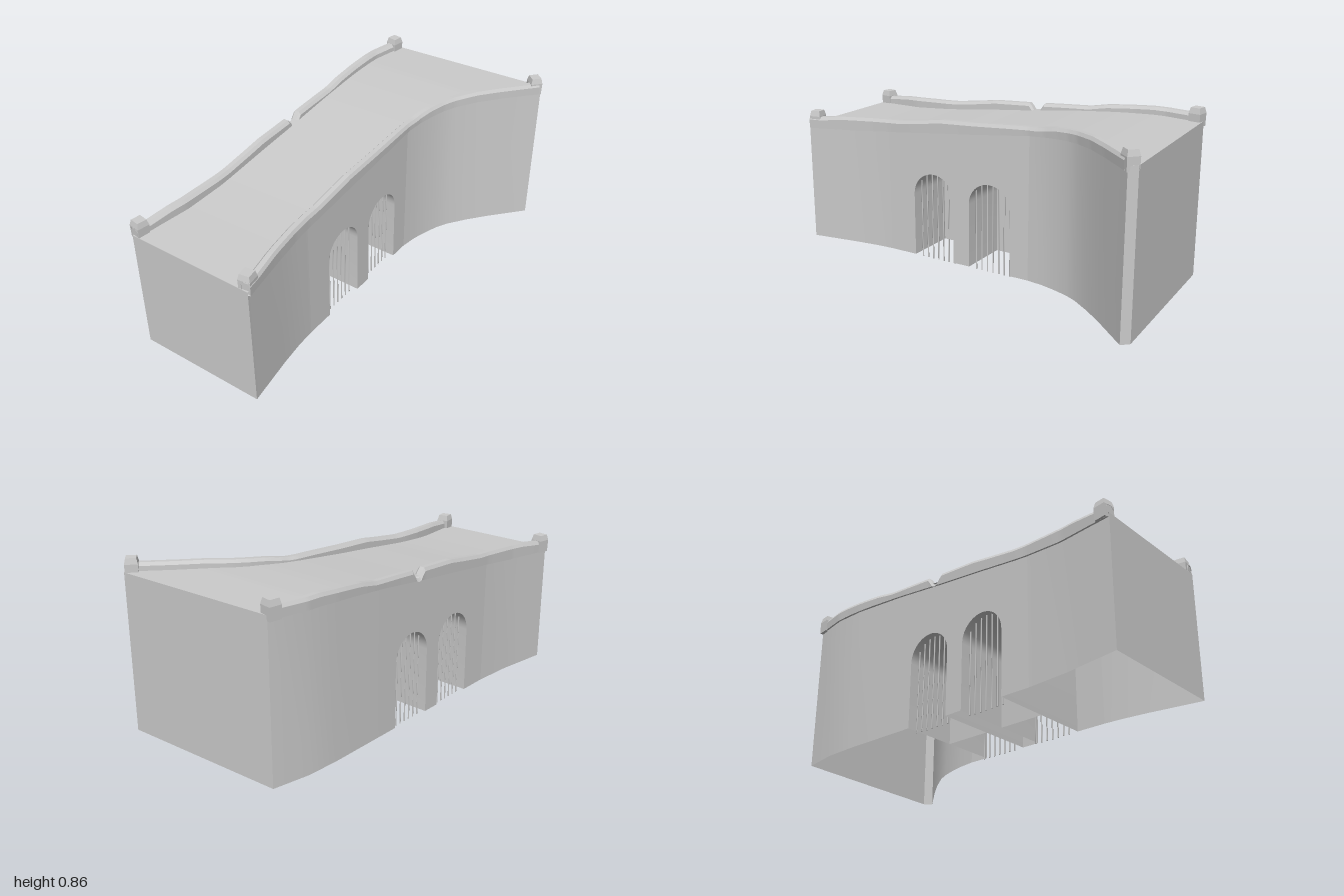
import * as THREE from 'three';
import { toCreasedNormals } from 'three/addons/utils/BufferGeometryUtils.js';

const mat = new THREE.MeshStandardMaterial({ color: 0xcccccc, side: THREE.DoubleSide });
const BASE = 0.02, MID_Z = -0.16, R = 0.118, SPRING = 0.35;
const ARCHES = [-0.25, 0.08];

// Plan lines of the two walls, as [x, z]
const FRONT = [[-1, 0.17], [-0.75, 0.13], [-0.62, 0.114], [-0.52, 0.108], [0.3, 0.108], [0.39, 0.121], [0.47, 0.143],
  [0.54, 0.167], [0.6, 0.197], [0.7, 0.268], [0.8, 0.35], [0.965, 0.497]];
const BACK = [[-1, -0.49], [-0.86, -0.47], [-0.73, -0.45], [-0.52, -0.435], [0.6, -0.435], [0.77, -0.427], [0.955, -0.39]];
// Elevations along x: top of the walls, top of the parapets
const WALL_TOP = [[-1, 0.628], [-0.7, 0.64], [-0.45, 0.662], [-0.2, 0.69], [0, 0.71], [0.3, 0.745], [0.5, 0.763], [0.7, 0.775], [1, 0.777]];
const PARAPET_TOP = [[-1, 0.69], [-0.93, 0.69], [-0.8, 0.705], [-0.6, 0.715], [-0.45, 0.722], [-0.3, 0.742], [-0.2, 0.757],
  [0, 0.768], [0.2, 0.782], [0.35, 0.791], [0.45, 0.81], [0.55, 0.82], [0.7, 0.832], [1, 0.834]];

function at(table, x) {
  let i = 1;
  while (i < table.length - 1 && table[i][0] < x) i++;
  const [x0, v0] = table[i - 1], [x1, v1] = table[i];
  return v0 + (v1 - v0) * (x - x0) / (x1 - x0);
}
const wallTop = x => at(WALL_TOP, x);
const range = (a, b, n) => Array.from({ length: n + 1 }, (_, i) => a + (b - a) * i / n);

// Surface through equal-length rows of [x, y, z] points
function loft(rows, crease = 0.5) {
  const w = rows[0].length, index = [];
  for (let i = 0; i < rows.length - 1; i++) for (let j = 0; j < w - 1; j++) {
    const a = i * w + j, b = a + w;
    index.push(a, b, a + 1, b, b + 1, a + 1);
  }
  const g = new THREE.BufferGeometry();
  g.setAttribute('position', new THREE.Float32BufferAttribute(rows.flat(2), 3));
  g.setIndex(index);
  return toCreasedNormals(g, crease);
}

function archPoints(c) {
  const arc = range(Math.PI, 0, 20).map(t => [c + R * Math.cos(t), SPRING + R * Math.sin(t)]);
  return [[c - R, BASE], ...arc, [c + R, BASE]];
}
const shapeOf = pts => new THREE.ShapeGeometry(new THREE.Shape(pts.map(p => new THREE.Vector2(...p))));

export function createModel() {
  const model = new THREE.Group();
  const add = (name, geometry, parent = model) => {
    const m = new THREE.Mesh(geometry, mat);
    m.name = name;
    parent.add(m);
    return m;
  };

  // Curved wall stretches, and the straight stretch with its arch openings
  const L = -0.52, S = 0.3;
  const column = ([x, z]) => [[x, BASE, z], [x, wallTop(x), z]];
  const wall = (name, path, sign) => {
    const g = new THREE.Group();
    g.name = name;
    model.add(g);
    const z = at(path, 0);
    const curve = (a, b) => [[a, at(path, a)], ...path.filter(p => p[0] > a && p[0] < b), [b, at(path, b)]].map(column);
    const ends = [curve(-1, L), curve(S, path.at(-1)[0])];
    ends.forEach(rows => add('curvedWall', loft(sign > 0 ? rows : rows.reverse()), g));
    const outline = [[L, BASE], ...ARCHES.flatMap(archPoints), [S, BASE],
      ...range(S, L, 20).map(x => [x, wallTop(x)])];
    const panel = shapeOf(sign > 0 ? outline : outline.map(([x, y]) => [-x, y]));
    if (sign < 0) panel.rotateY(Math.PI);
    panel.translate(0, 0, z);
    add('archedWall', panel, g);
  };
  wall('frontWall', FRONT, 1);
  wall('backWall', BACK, -1);

  // End walls and the cut front corner; walls rise to the deck
  const upright = ([x, z]) => [[x, BASE, z], [x, wallTop(x) + 0.02, z]];
  const corner = [1, 0.465];
  add('leftEndWall', loft([corner, BACK.at(-1)].map(upright)));
  add('rightEndWall', loft([BACK[0], FRONT[0]].map(upright)));
  add('cutCorner', loft([FRONT.at(-1), corner].map(upright)));

  // Deck between the walls
  const deckRow = (f, b) => [[f[0], wallTop(f[0]) + 0.02, f[1]], [b[0], wallTop(b[0]) + 0.02, b[1]]];
  const deckRows = range(0, 1, 60).map(t => {
    const xf = -1 + 1.965 * t, xb = -1 + 1.955 * t;
    return deckRow([xf, at(FRONT, xf)], [xb, at(BACK, xb)]);
  });
  deckRows.push(deckRow(corner, BACK.at(-1)));
  add('deck', loft(deckRows));

  // Parapets: a bevelled section swept along each wall, the back one with a broken notch
  const parapet = (name, path, sign, x1) => {
    const rows = range(-0.995, x1, 130).map(x => {
      const dz = (at(path, x + 0.02) - at(path, x - 0.02)) / 0.04;
      const n = Math.hypot(1, dz), nx = -dz * sign / n, nz = sign / n;
      const notch = sign < 0 ? 0.045 * Math.max(0, Math.min(1, 1.4 - Math.abs(x - 0.05) / 0.03)) : 0;
      const y0 = wallTop(x), y1 = at(PARAPET_TOP, x) - notch, z = at(path, x);
      const section = [[-0.034, y0], [0.009, y0], [0.011, y1 - 0.016], [0.002, y1], [-0.022, y1], [-0.034, y1 - 0.014], [-0.034, y0]];
      return section.map(([o, y]) => [Math.max(-1, x + nx * o), y, z + nz * o]);
    });
    add(name, loft(sign > 0 ? rows : rows.reverse(), 0.45));
  };
  parapet('frontParapet', FRONT, 1, 0.955);
  parapet('backParapet', BACK, -1, 0.945);

  // Square end posts with tapered caps
  const profile = [[0, 0], [0.041, 0], [0.043, 0.062], [0.034, 0.09], [0, 0.09]].map(p => new THREE.Vector2(...p));
  const postGeometry = new THREE.LatheGeometry(profile, 4, Math.PI / 4).toNonIndexed();
  postGeometry.computeVertexNormals();
  for (const [x, z, turn, y] of [[-0.965, 0.143, 0.15, 0.63], [-0.965, -0.475, -0.15, 0.63],
    [0.96, 0.46, -0.72, 0.772], [0.925, -0.382, -0.15, 0.772]]) {
    const post = add('endPost', postGeometry);
    post.position.set(x, y, z);
    post.rotation.y = turn;
  }

  // Arched recesses from both faces, closed by a wall half way, each with a row of bars
  const zf = at(FRONT, 0), zb = at(BACK, 0);
  for (const c of ARCHES) {
    const pts = archPoints(c);
    add('archVault', loft([zf, zb].map(z => pts.map(([x, y]) => [x, y, z]))));
    add('recessWall', shapeOf(pts).translate(0, 0, MID_Z));
    for (const z of [zf - 0.038, zb + 0.036]) {
      const grille = new THREE.Group();
      grille.name = 'grille';
      model.add(grille);
      for (const o of range(-0.098, 0.098, 6)) {
        const h = SPRING + Math.sqrt(R * R - o * o);
        add('bar', new THREE.CylinderGeometry(0.0035, 0.0035, h, 6), grille).position.set(c + o, h / 2, z);
      }
    }
  }
  return model;
}
